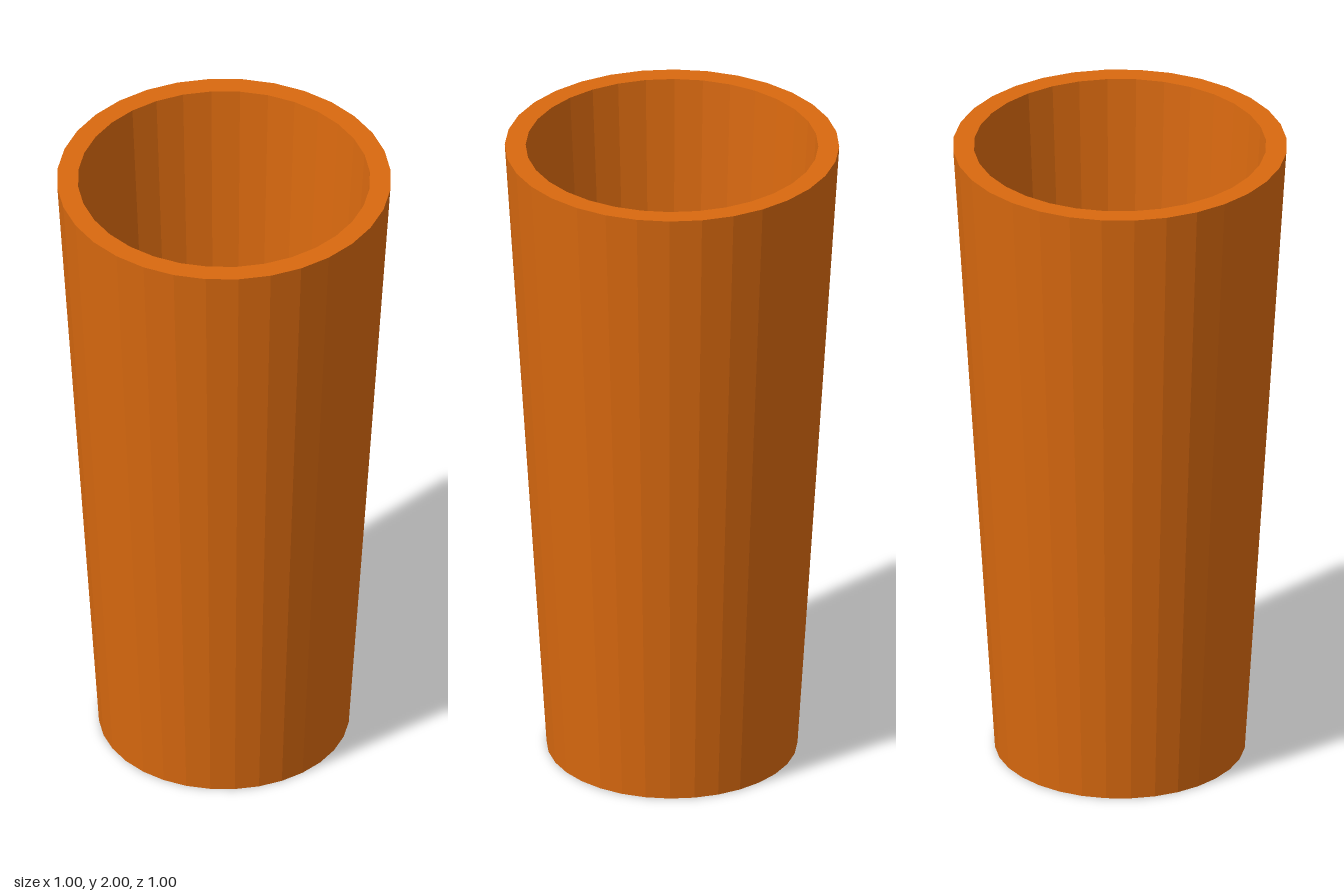
import * as THREE from 'three';

export function createModel() {
  const group = new THREE.Group();
  group.name = 'cup';

  // Closed profile: base, tapered outer wall, flat rim, inner wall, inside floor
  const profile = [
    [0, 0], [0.375, 0], [0.5, 2], [0.4375, 2], [0.328, 0.25], [0, 0.25],
  ].map(([r, y]) => new THREE.Vector2(r, y));

  // 32-sided faceted body
  const geometry = new THREE.LatheGeometry(profile, 32).toNonIndexed();
  geometry.computeVertexNormals();

  const body = new THREE.Mesh(
    geometry,
    new THREE.MeshStandardMaterial({ color: 0xd9690f, flatShading: true }),
  );
  body.name = 'cupBody';
  group.add(body);
  return group;
}
